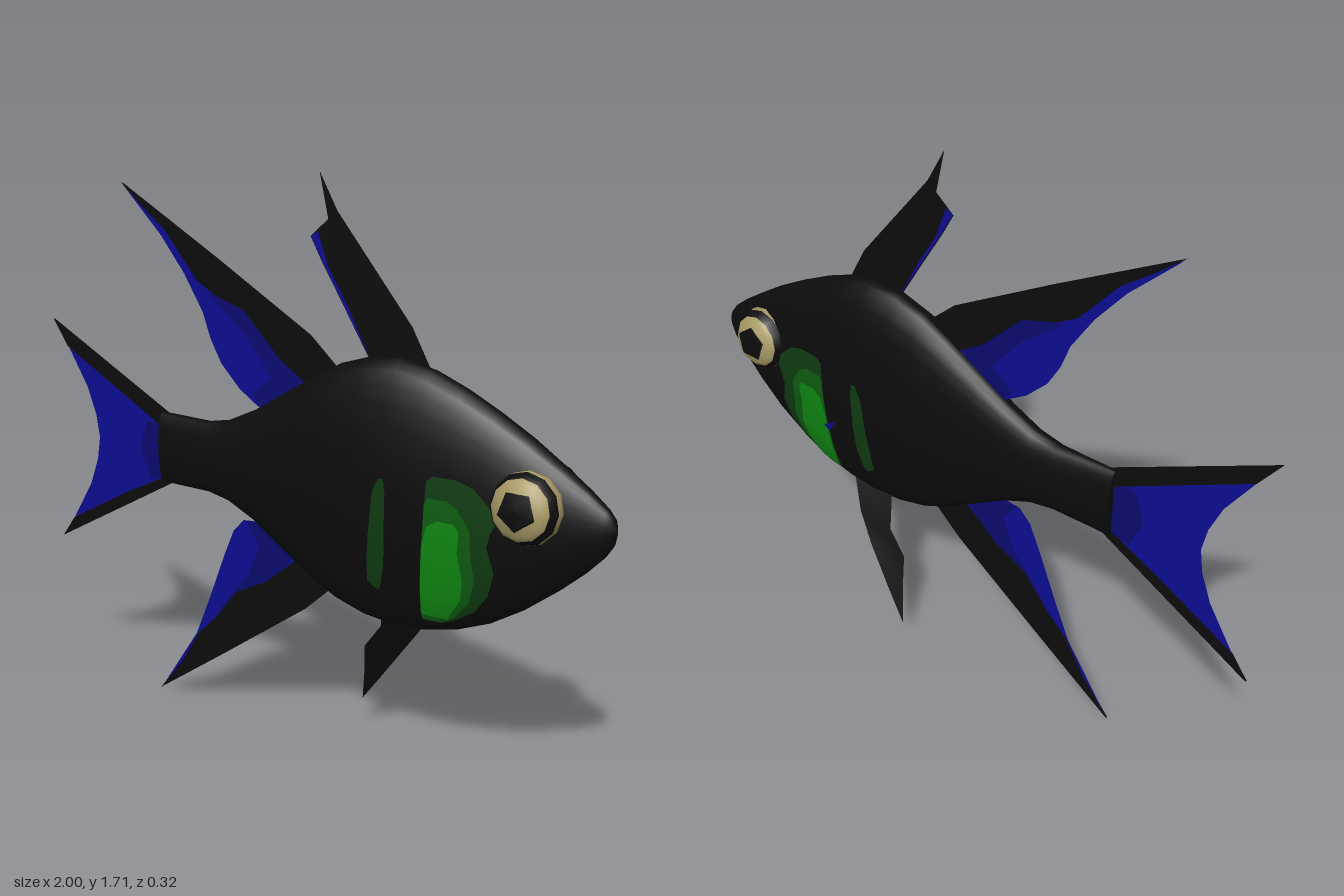
import * as THREE from 'three';

// body stations: x, top y, bottom y, half width
const STATIONS = [
  [-0.53, 0.96, 0.73, 0.028], [-0.34, 0.955, 0.73, 0.045], [-0.26, 0.97, 0.715, 0.053],
  [-0.16, 1.015, 0.67, 0.062], [-0.05, 1.08, 0.6, 0.075], [0.06, 1.145, 0.53, 0.087],
  [0.15, 1.192, 0.488, 0.095], [0.25, 1.222, 0.46, 0.1], [0.35, 1.23, 0.45, 0.103],
  [0.45, 1.208, 0.458, 0.1], [0.55, 1.168, 0.482, 0.096], [0.65, 1.118, 0.523, 0.09],
  [0.75, 1.062, 0.585, 0.08], [0.85, 0.997, 0.663, 0.062], [0.92, 0.949, 0.725, 0.045],
  [0.97, 0.909, 0.778, 0.03], [0.99, 0.885, 0.81, 0.02], [1, 0.85, 0.85, 0],
];

const sectionZ = (w, t) => w * Math.pow(Math.max(0, 1 - t * t), 0.45);

// half width of the body at a point of its side
function bodyZ(x, y) {
  let i = 0;
  while (i < STATIONS.length - 2 && x > STATIONS[i + 1][0]) i++;
  const a = STATIONS[i], b = STATIONS[i + 1], k = (x - a[0]) / (b[0] - a[0]);
  const [top, bot, w] = [1, 2, 3].map((n) => a[n] + (b[n] - a[n]) * k);
  return sectionZ(w, (2 * y - top - bot) / (top - bot));
}

// surface through rows of points; closed rows wrap around
function loft(rows, closed = false) {
  const n = rows[0].length, index = [];
  for (let i = 0; i < rows.length - 1; i++) {
    for (let j = 0; j < (closed ? n : n - 1); j++) {
      const k = (j + 1) % n, a = i * n + j, b = a + n, c = (i + 1) * n + k, d = i * n + k;
      index.push(a, b, c, a, c, d);
    }
  }
  const geo = new THREE.BufferGeometry();
  geo.setAttribute('position', new THREE.Float32BufferAttribute(rows.flat(2), 3));
  geo.setIndex(index);
  geo.computeVertexNormals();
  return geo;
}

export function createModel() {
  const fish = new THREE.Group();
  fish.name = 'fish';
  const mat = (name, color, side = THREE.DoubleSide) => {
    const m = new THREE.MeshStandardMaterial({ color, side });
    m.name = name;
    return m;
  };
  const black = mat('black skin', 0x0c0c0c);
  const blue = mat('blue fin', 0x0c0c92);
  const darkBlue = mat('dark blue fin', 0x0b0b70);
  const beige = mat('beige eye', 0xa89a66);
  const darkGreen = mat('dark green', 0x103c12);
  const midGreen = mat('mid green', 0x0e5e12);
  const green = mat('bright green', 0x108a12);
  const add = (name, geo, material, parent = fish) => {
    const m = new THREE.Mesh(geo, material);
    m.name = name;
    parent.add(m);
    return m;
  };

  // body, with the blunt tail end closed by a flat cap
  const SIDES = 32;
  const rings = STATIONS.map(([x, top, bot, w]) => Array.from({ length: SIDES }, (_, j) => {
    const a = (j / SIDES) * Math.PI * 2, t = Math.sin(a);
    return [x, (top + bot) / 2 + (t * (top - bot)) / 2, Math.sign(Math.cos(a)) * sectionZ(w, t)];
  }));
  add('body', loft(rings, true), black);
  add('tailEndCap', loft([rings[0].map(() => [-0.53, 0.845, 0]), rings[0]], true), black);

  // flat fins in the middle plane: thin web with raised bands on both sides
  const flat = (name, pts, material, depth) => {
    const shape = new THREE.Shape(pts.map((p) => new THREE.Vector2(...p)));
    const geo = depth
      ? new THREE.ExtrudeGeometry(shape, { depth, bevelEnabled: false }).translate(0, 0, -depth / 2)
      : new THREE.ShapeGeometry(shape);
    add(name, geo, material);
  };

  // tail fin
  flat('tailFinWeb', [[-0.5, 0.94], [-0.98, 1.19], [-0.93, 1.11], [-0.86, 1.0], [-0.825, 0.91],
    [-0.812, 0.835], [-0.825, 0.76], [-0.86, 0.67], [-0.93, 0.56], [-0.98, 0.48], [-0.5, 0.74]], blue);
  flat('tailFinRoot', [[-0.5, 0.92], [-0.6, 0.92], [-0.63, 0.83], [-0.59, 0.73], [-0.5, 0.75]], darkBlue, 0.004);
  flat('tailFinTopEdge', [[-0.5, 0.955], [-1, 1.21], [-0.94, 1.125], [-0.62, 0.955], [-0.5, 0.89]], black, 0.006);
  flat('tailFinBottomEdge', [[-0.5, 0.73], [-1, 0.462], [-0.945, 0.535], [-0.7, 0.665], [-0.5, 0.76]], black, 0.006);

  // rear dorsal fin
  flat('dorsalFinWeb', [[0.1, 1.15], [-0.1, 1.28], [-0.67, 1.655], [-0.52, 1.51], [-0.43, 1.4],
    [-0.36, 1.29], [-0.33, 1.21], [-0.29, 1.14], [-0.22, 1.07], [-0.15, 1.025], [0, 1.05]], blue);
  flat('dorsalFinShade', [[0, 1.07], [-0.14, 1.02], [-0.17, 1.06], [-0.1, 1.12], [-0.2, 1.24],
    [-0.34, 1.35], [-0.2, 1.33], [0, 1.17]], darkBlue, 0.004);
  flat('dorsalFinFront', [[0.13, 1.18], [0.04, 1.26], [-0.3, 1.455], [-0.675, 1.662], [-0.6, 1.6],
    [-0.5, 1.525], [-0.38, 1.385], [-0.31, 1.345], [-0.2, 1.31], [-0.14, 1.25], [-0.07, 1.18],
    [0.02, 1.12], [0.1, 1.12]], black, 0.006);

  // anal fin
  flat('analFinWeb', [[0.05, 0.55], [-0.05, 0.43], [-0.3, 0.24], [-0.56, 0.02], [-0.41, 0.24],
    [-0.35, 0.38], [-0.29, 0.53], [-0.25, 0.62], [-0.21, 0.66], [-0.1, 0.67]], blue);
  flat('analFinShade', [[0, 0.6], [-0.12, 0.47], [-0.36, 0.27], [-0.3, 0.36], [-0.19, 0.49],
    [-0.15, 0.59], [-0.2, 0.66], [-0.1, 0.66]], darkBlue, 0.004);
  flat('analFinFront', [[0.12, 0.51], [0.02, 0.42], [-0.3, 0.195], [-0.57, 0.008], [-0.47, 0.13],
    [-0.4, 0.245], [-0.33, 0.31], [-0.24, 0.42], [-0.12, 0.48], [0, 0.58], [0.1, 0.56]], black, 0.006);

  // tall front dorsal fin
  flat('frontDorsalFin', [[0.45, 1.19], [0.38, 1.315], [0.13, 1.615], [0.07, 1.72], [0.1, 1.59],
    [0.04, 1.54], [0.08, 1.47], [0.15, 1.36], [0.25, 1.2]], black);
  flat('frontDorsalFinEdge', [[0.043, 1.54], [0.065, 1.555], [0.1, 1.46], [0.17, 1.35], [0.24, 1.22],
    [0.15, 1.365], [0.08, 1.475]], blue, 0.004);

  // single swept pelvic fin: front and rear edge of each row
  add('pelvicFin', loft([
    [[0.44, 0.48, -0.03], [0.28, 0.48, -0.03]],
    [[0.37, 0.4, -0.085], [0.24, 0.39, -0.085]],
    [[0.3, 0.315, -0.115], [0.18, 0.31, -0.09]],
    [[0.21, 0.2, -0.14], [0.158, 0.21, -0.125]],
    [[0.13, 0.1, -0.16], [0.13, 0.1, -0.16]],
  ]), black);

  // green side markings as rows of [y, rear x, front x], laid over the body
  const markings = [
    ['rearBar', darkGreen, 0.004, [[0.91, 0.345, 0.36], [0.87, 0.325, 0.366], [0.75, 0.312, 0.364],
      [0.66, 0.303, 0.36], [0.6, 0.3, 0.347], [0.58, 0.325, 0.338]]],
    ['gillPatch', darkGreen, 0.004, [[0.94, 0.51, 0.58], [0.925, 0.493, 0.63], [0.88, 0.49, 0.68],
      [0.84, 0.49, 0.7], [0.81, 0.488, 0.685], [0.77, 0.485, 0.675], [0.7, 0.48, 0.695],
      [0.63, 0.475, 0.675], [0.57, 0.47, 0.63], [0.525, 0.468, 0.56], [0.51, 0.468, 0.52]]],
    ['gillPatchMiddle', midGreen, 0.006, [[0.88, 0.5, 0.56], [0.86, 0.49, 0.59], [0.81, 0.488, 0.627],
      [0.74, 0.483, 0.63], [0.67, 0.478, 0.64], [0.6, 0.473, 0.62], [0.54, 0.469, 0.57],
      [0.515, 0.469, 0.53]]],
    ['gillPatchCentre', green, 0.008, [[0.82, 0.53, 0.58], [0.8, 0.5, 0.597], [0.74, 0.485, 0.592],
      [0.66, 0.479, 0.605], [0.6, 0.475, 0.595], [0.55, 0.472, 0.56], [0.53, 0.472, 0.55]]],
  ];

  for (const s of [1, -1]) {
    const side = s > 0 ? 'left' : 'right'; // +z half first
    for (const [name, material, lift, rows] of markings) {
      const grid = rows.map(([y, x0, x1]) => Array.from({ length: 9 }, (_, i) => {
        const x = x0 + ((x1 - x0) * i) / 8;
        return [x, y, s * (bodyZ(x, y) + lift)];
      }));
      add(`${side} ${name}`, loft(grid), material);
    }

    // tiny pectoral fin tip
    add(`${side} pectoralFin`, loft([
      [[0.432, 0.76, s * 0.16], [0.412, 0.76, s * 0.13]],
      [[0.425, 0.73, s * 0.145], [0.425, 0.73, s * 0.145]],
    ]), blue);

    // banded eye, turned slightly upward
    const eye = new THREE.Group();
    eye.name = `${side} eye`;
    const bands = [
      ['outerBand', beige, 12, [[0.085, 0.03], [0.098, 0.05], [0.1, 0.068], [0.098, 0.08]]],
      ['darkBand', black, 12, [[0.098, 0.08], [0.092, 0.095], [0.084, 0.105]]],
      ['innerBand', beige, 12, [[0.084, 0.105], [0.07, 0.12], [0.035, 0.131]]],
      ['pupil', black, 5, [[0.056, 0.127], [0.052, 0.133], [0, 0.137]]],
    ];
    for (const [name, material, n, pts] of bands) {
      const geo = new THREE.LatheGeometry(pts.map((p) => new THREE.Vector2(...p)), n);
      add(name, geo.rotateX((s * Math.PI) / 2), material, eye);
    }
    eye.position.set(0.775, 0.885, 0);
    eye.rotation.x = -s * 0.1;
    fish.add(eye);
  }
  return fish;
}
